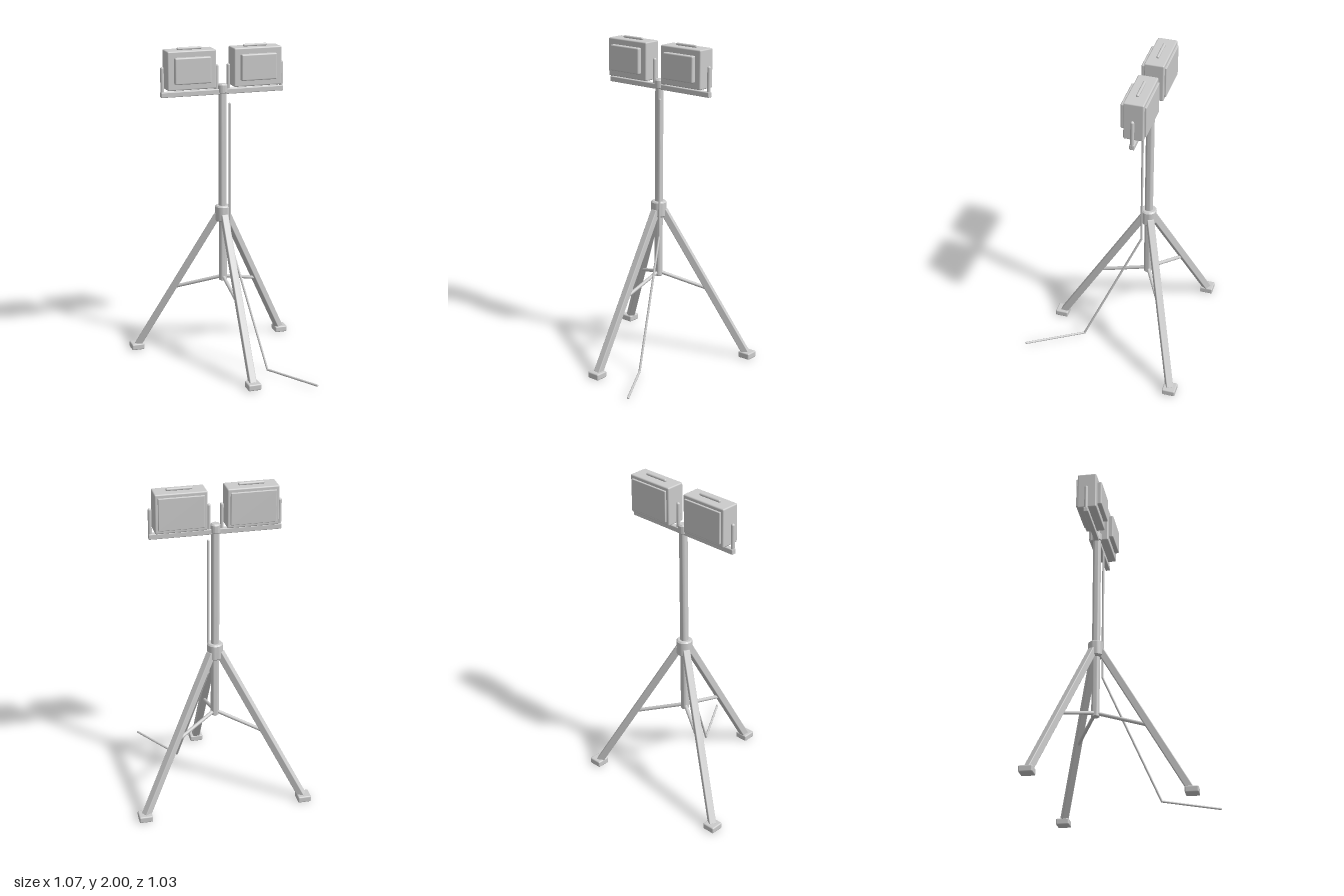
import * as THREE from 'three';
import { RoundedBoxGeometry } from 'three/addons/geometries/RoundedBoxGeometry.js';
import { toCreasedNormals } from 'three/addons/utils/BufferGeometryUtils.js';

const AXIS_Z = -0.19; // the mast stands behind the centre
const material = new THREE.MeshStandardMaterial({ color: 0xcccccc });

function add(parent, name, geometry, x = 0, y = 0, z = 0) {
  const mesh = new THREE.Mesh(geometry, material);
  mesh.name = name;
  mesh.position.set(x, y, z);
  parent.add(mesh);
  return mesh;
}

const box = (w, h, d, r = 0.006) => new RoundedBoxGeometry(w, h, d, 2, r);

// Turned solid with bevelled rims, standing on y = 0
function turned(radius, height, bevel) {
  const profile = [
    [0, 0], [radius - bevel, 0], [radius, bevel],
    [radius, height - bevel], [radius - bevel, height], [0, height],
  ].map(([x, y]) => new THREE.Vector2(x, y));
  return toCreasedNormals(new THREE.LatheGeometry(profile, 32), 0.6);
}

// Lays a part made along y between two points in the local yz plane
function span(parent, name, makeGeometry, [y0, z0], [y1, z1]) {
  const dy = y1 - y0, dz = z1 - z0;
  const mesh = add(parent, name, makeGeometry(Math.hypot(dy, dz)), 0, (y0 + y1) / 2, (z0 + z1) / 2);
  mesh.rotation.x = Math.atan2(dz, dy);
}

// Work lamp: housing, front lens, rear panel and top handle
function createLamp(x) {
  const lamp = new THREE.Group();
  lamp.name = 'lamp';
  lamp.position.set(x, 1.867, 0);
  add(lamp, 'lampHousing', box(0.304, 0.236, 0.118, 0.008));
  add(lamp, 'lampLens', box(0.226, 0.16, 0.036, 0.008), 0, 0.001, 0.068);
  add(lamp, 'rearPanel', box(0.268, 0.194, 0.02, 0.004), 0, 0, -0.06);
  const handle = add(lamp, 'lampHandle', new THREE.CapsuleGeometry(0.009, 0.137, 6, 14), 0, 0.124, 0);
  handle.rotation.z = Math.PI / 2;
  return lamp;
}

export function createModel() {
  const model = new THREE.Group();
  model.name = 'workLightTripod';
  const stand = new THREE.Group();
  stand.name = 'stand';
  stand.position.z = AXIS_Z;
  model.add(stand);

  // Mast
  add(stand, 'mast', turned(0.025, 1.22, 0.003), 0, 0.51);
  add(stand, 'collar', turned(0.048, 0.1, 0.008), 0, 0.9);
  add(stand, 'mastCap', turned(0.03, 0.06, 0.008), 0, 1.705);

  // Legs, struts and feet, three times around the mast
  for (let i = 0; i < 3; i++) {
    const angle = (i * Math.PI * 2) / 3;
    const side = new THREE.Group();
    side.name = 'legAssembly';
    side.rotation.y = angle;
    stand.add(side);
    span(side, 'leg', (l) => box(0.043, l, 0.043, 0.005), [0.94, 0.03], [0.027, 0.565]);
    span(side, 'strut', (l) => new THREE.CylinderGeometry(0.011, 0.011, l, 14), [0.535, 0.005], [0.445, 0.305]);
    add(stand, 'foot', box(0.082, 0.04, 0.082, 0.008), Math.sin(angle) * 0.572, 0.02, Math.cos(angle) * 0.572);
  }

  // Crossbar carrying the lamps between upright pins
  add(stand, 'crossbar', box(0.78, 0.033, 0.03, 0.005), 0, 1.718);
  for (const s of [-1, 1]) {
    stand.add(createLamp(s * 0.209));
    for (const x of [0.038, 0.38]) {
      add(stand, 'lampUpright', new THREE.CapsuleGeometry(0.011, 0.153, 6, 14), s * x, 1.8);
    }
  }

  // Power cable down the mast and out along the ground
  const cable = new THREE.CurvePath();
  const points = [
    [0.034, 1.645, -0.155], [0.034, 0.78, -0.155], [0.167, 0.02, 0.182], [0.366, 0.02, 0.51],
  ].map((p) => new THREE.Vector3(...p));
  for (let i = 0; i < 3; i++) {
    cable.add(new THREE.LineCurve3(points[i], points[i + 1]));
    add(model, 'cableSection', new THREE.TubeGeometry(cable.curves[i], 1, 0.007, 10));
  }
  for (const p of points) add(model, 'cableBend', new THREE.SphereGeometry(0.007, 10, 8), p.x, p.y, p.z);

  return model;
}
